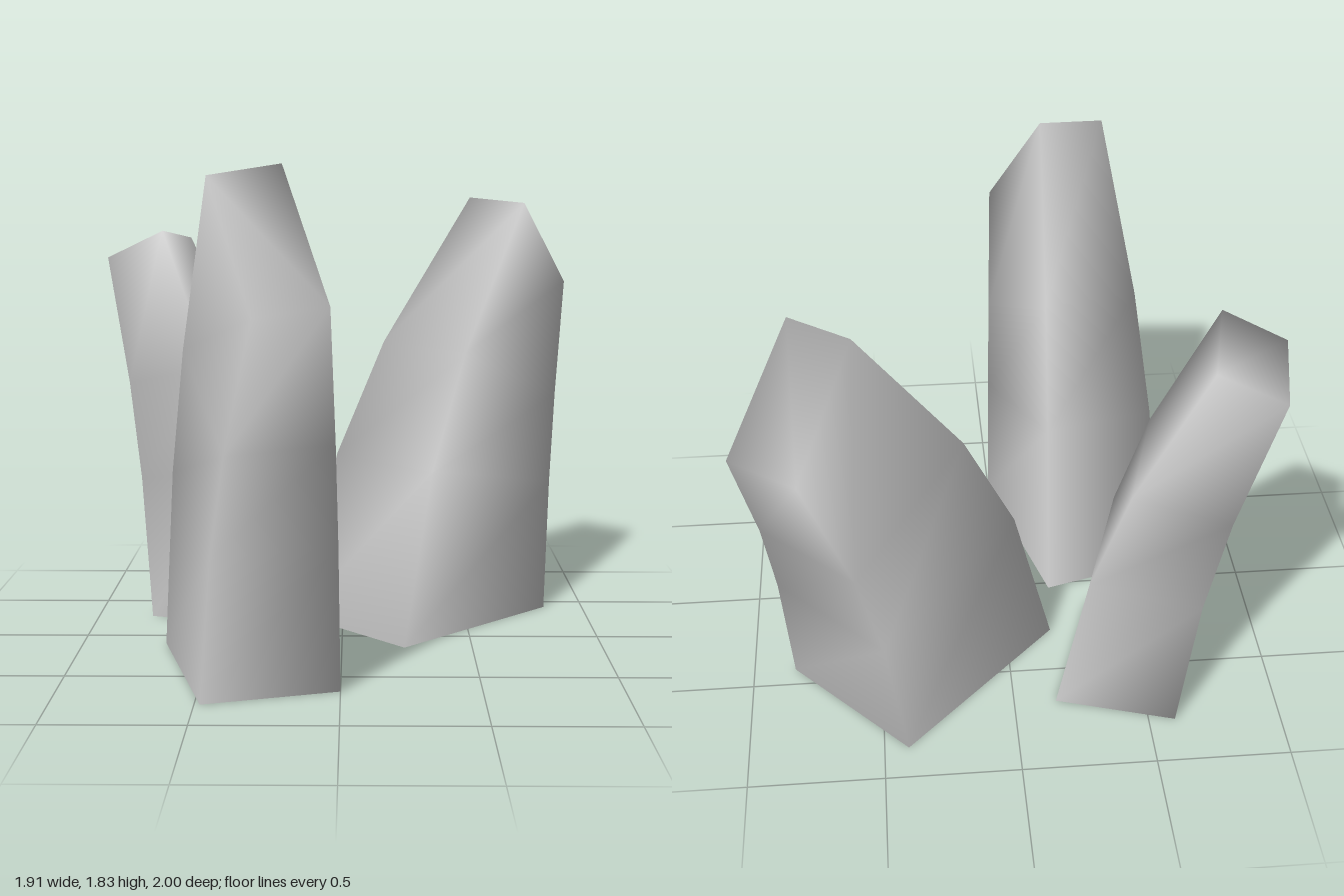
import * as THREE from 'three';

// Bend of each spike: share of the total height and of the outward lean per ring
const RINGS = [
  { rise: 0, lean: 0 },
  { rise: 0.39, lean: 0.22 },
  { rise: 0.655, lean: 0.49 },
  { rise: 1, lean: 1 },
];

// Four-sided bent spike, open below, with a slanted end.
// base: corners [x, z], tip: corners [x, y, z], both clockwise from above.
function spikeGeometry(base, tip) {
  const positions = [];
  const index = [];
  for (const { rise, lean } of RINGS) {
    base.forEach(([bx, bz], i) => {
      const [tx, ty, tz] = tip[i];
      positions.push(bx + (tx - bx) * lean, ty * rise, bz + (tz - bz) * lean);
    });
  }
  // Walls
  for (let r = 0; r < RINGS.length - 1; r++) {
    for (let i = 0; i < 4; i++) {
      const a = r * 4 + i;
      const b = r * 4 + ((i + 1) % 4);
      index.push(b, a, a + 4, b, a + 4, b + 4);
    }
  }
  // Slanted end, sharing its corners with the walls for smooth shading
  const e = (RINGS.length - 1) * 4;
  index.push(e, e + 3, e + 2, e, e + 2, e + 1);

  const geometry = new THREE.BufferGeometry();
  geometry.setAttribute('position', new THREE.Float32BufferAttribute(positions, 3));
  geometry.setIndex(index);
  geometry.computeVertexNormals();
  return geometry;
}

// Each spike starts with its two inner corners, then the two outer ones
const SPIKES = [
  {
    name: 'frontSpike',
    base: [[-0.68, 0.1], [-0.2, -0.03], [0, 0.66], [-0.48, 0.8]],
    tip: [[-0.45, 1.79, 0.66], [-0.2, 1.83, 0.57], [-0.03, 1.37, 0.9], [-0.28, 1.34, 1]],
  },
  {
    name: 'leftSpike',
    base: [[0.24, 0.15], [-0.18, -0.28], [0.41, -0.86], [0.84, -0.42]],
    tip: [[0.74, 1.68, -0.5], [0.53, 1.7, -0.68], [0.72, 1.36, -1], [0.95, 1.34, -0.81]],
  },
  {
    name: 'backSpike',
    base: [[-0.16, -0.67], [-0.34, -0.15], [-0.78, -0.27], [-0.6, -0.8]],
    tip: [[-0.65, 1.53, -0.73], [-0.73, 1.57, -0.4], [-0.96, 1.46, -0.44], [-0.89, 1.43, -0.78]],
  },
];

export function createModel() {
  const model = new THREE.Group();
  model.name = 'spikeCluster';
  const grey = new THREE.MeshStandardMaterial({ color: 0xcccccc, side: THREE.DoubleSide });
  grey.name = 'light grey';
  for (const { name, base, tip } of SPIKES) {
    const spike = new THREE.Mesh(spikeGeometry(base, tip), grey);
    spike.name = name;
    model.add(spike);
  }
  return model;
}
